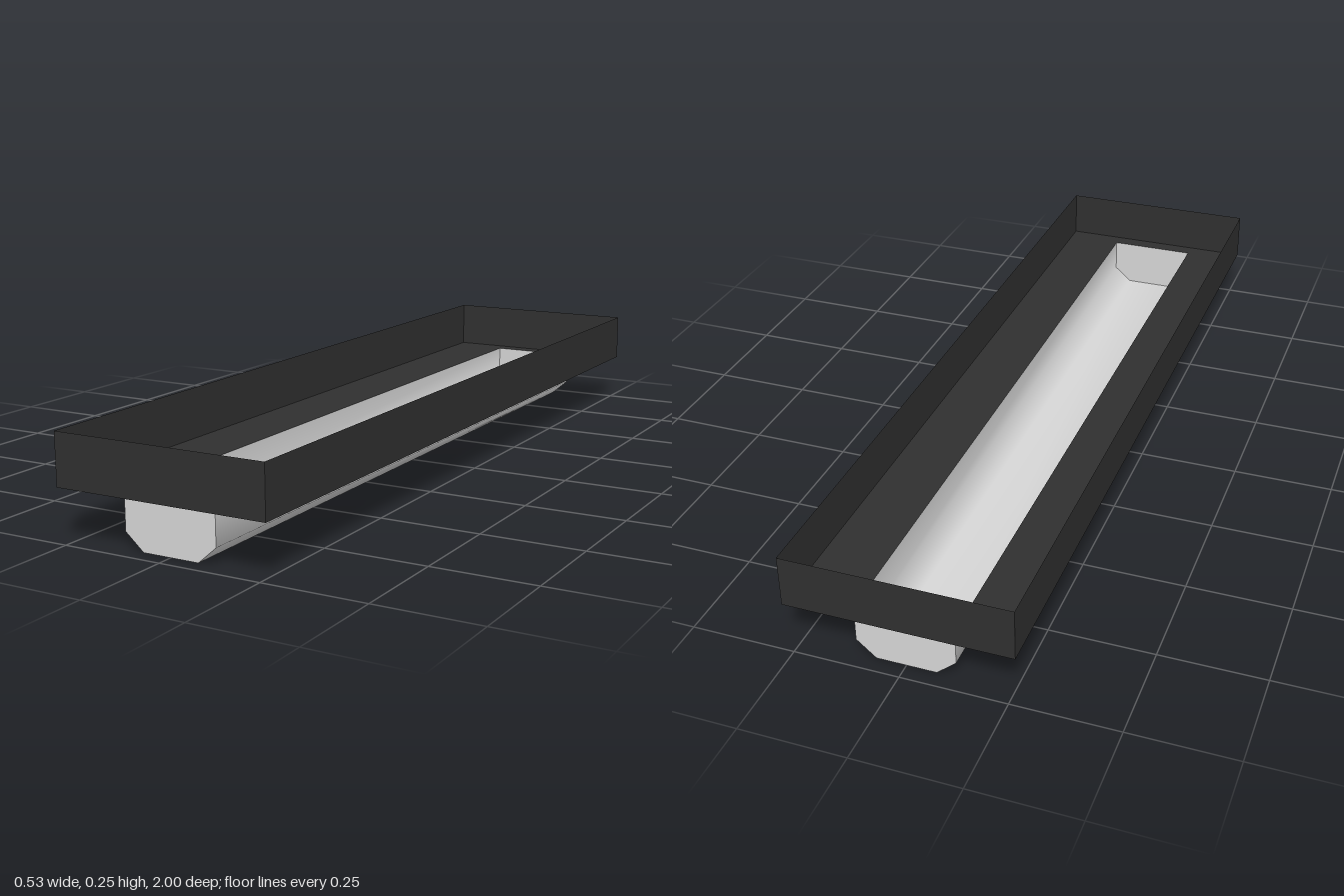
import * as THREE from 'three';

const HALF_W = 0.267, HALF_L = 1, RIM = 0.252, FLOOR = 0.127;
const TROUGH_L = 0.96;
// Cross-section of the trough, from its right rim round to its left rim
const PROFILE = [[-0.117, FLOOR], [-0.117, 0.04], [-0.071, 0], [0.071, 0], [0.117, 0.04], [0.117, FLOOR]];

// Smooth open channel along z
function channelGeometry() {
  const positions = [], index = [];
  PROFILE.forEach(([x, y], i) => {
    positions.push(x, y, TROUGH_L, x, y, -TROUGH_L);
    if (i < PROFILE.length - 1) {
      const a = i * 2;
      index.push(a, a + 1, a + 2, a + 1, a + 3, a + 2);
    }
  });
  const geometry = new THREE.BufferGeometry();
  geometry.setAttribute('position', new THREE.Float32BufferAttribute(positions, 3));
  geometry.setIndex(index);
  geometry.computeVertexNormals();
  return geometry;
}

export function createModel() {
  const black = new THREE.MeshStandardMaterial({ color: 0x303030, side: THREE.DoubleSide });
  black.name = 'black housing';
  const pale = new THREE.MeshStandardMaterial({ color: 0xd6d6d6, side: THREE.DoubleSide });
  pale.name = 'pale grey diffuser';

  const model = new THREE.Group();
  model.name = 'lightFixture';
  const add = (name, geometry, material) => {
    const mesh = new THREE.Mesh(geometry, material);
    mesh.name = name;
    model.add(mesh);
    return mesh;
  };
  const rectangle = (path, w, l) =>
    path.moveTo(-w, -l).lineTo(w, -l).lineTo(w, l).lineTo(-w, l).closePath();

  // Tray floor with a slot over the trough
  const floor = rectangle(new THREE.Shape(), HALF_W, HALF_L);
  floor.holes.push(rectangle(new THREE.Path(), 0.117, TROUGH_L));
  add('trayFloor', new THREE.ShapeGeometry(floor).rotateX(-Math.PI / 2), black).position.y = FLOOR;

  // Thin tray walls and flat trough ends, mirrored
  const wallHeight = RIM - FLOOR, wallY = (RIM + FLOOR) / 2;
  const endShape = new THREE.Shape(PROFILE.map(([x, y]) => new THREE.Vector2(x, y)));
  for (const s of [1, -1]) {
    const side = add(s > 0 ? 'leftWall' : 'rightWall', new THREE.PlaneGeometry(2 * HALF_L, wallHeight), black);
    side.position.set(s * HALF_W, wallY, 0);
    side.rotation.y = s * Math.PI / 2;

    const turn = s > 0 ? 0 : Math.PI;
    const end = add(s > 0 ? 'frontWall' : 'backWall', new THREE.PlaneGeometry(2 * HALF_W, wallHeight), black);
    end.position.set(0, wallY, s * HALF_L);
    end.rotation.y = turn;

    const cap = add(s > 0 ? 'frontTroughEnd' : 'backTroughEnd', new THREE.ShapeGeometry(endShape), pale);
    cap.position.z = s * TROUGH_L;
    cap.rotation.y = turn;
  }

  // Hanging trough
  add('trough', channelGeometry(), pale);
  return model;
}
